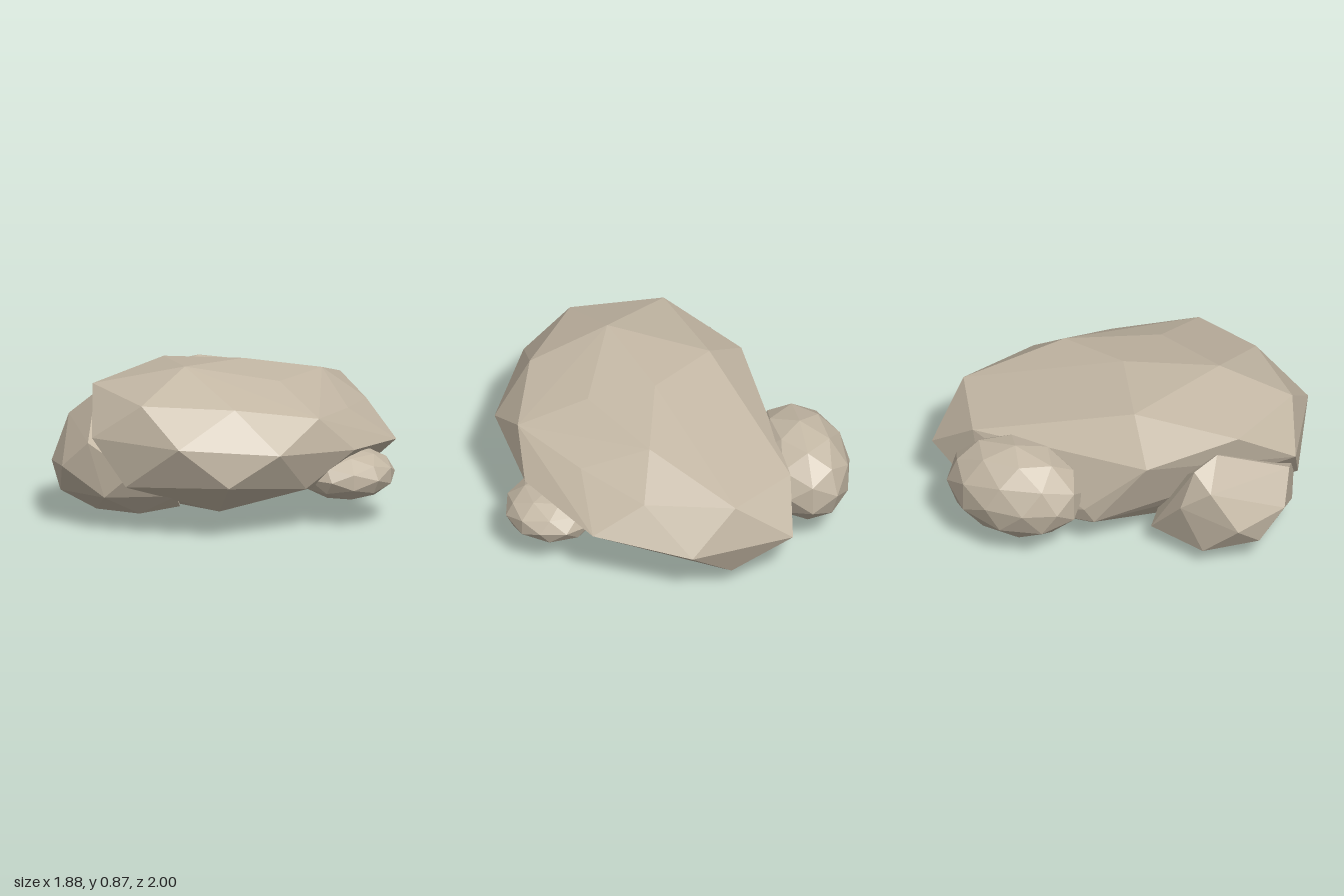
import * as THREE from 'three';
import { ConvexGeometry } from 'three/addons/geometries/ConvexGeometry.js';

export function createModel() {
  const group = new THREE.Group();
  group.name = 'rockCluster';
  const stone = new THREE.MeshStandardMaterial({ color: 0xc4b8a5, flatShading: true });
  stone.name = 'warm grey stone';

  const add = (name, geometry) => {
    const mesh = new THREE.Mesh(geometry, stone);
    mesh.name = name;
    group.add(mesh);
  };

  // Faceted boulder spanned over its corner points
  const hull = (name, points) =>
    add(name, new ConvexGeometry(points.map((p) => new THREE.Vector3(...p))));

  // Small rounded stone: a stretched low-poly ball
  const pebble = (name, centre, radii, turn) => {
    const geometry = new THREE.IcosahedronGeometry(1, 1);
    geometry.rotateY(turn).scale(...radii).translate(...centre);
    add(name, geometry);
  };

  hull('mainBoulder', [
    // crown
    [0.15, 0.87, 0.44], [-0.34, 0.79, 0.16], [0.04, 0.81, -0.08], [0.4, 0.76, -0.02],
    [0.58, 0.71, 0.46], [0.24, 0.73, 0.83], [-0.26, 0.75, 0.74], [0.2, 0.72, -0.5],
    // flanks
    [0.78, 0.63, 0.03], [0.815, 0.48, 0.34], [0.51, 0.53, 0.8], [-0.01, 0.53, 0.965],
    [0.81, 0.425, -0.2], [0.55, 0.58, -0.38], [0.3, 0.53, -0.73], [0.58, 0.36, -0.7],
    [-0.15, 0.56, -0.94], [0.11, 0.315, -1.0], [-0.46, 0.33, -0.985], [-0.53, 0.54, -0.71],
    [-0.58, 0.48, -0.19], [-0.575, 0.63, 0.34], [-0.64, 0.3, 0], [-0.62, 0.22, 0.05],
    // underside
    [0.67, 0.31, 0.58], [0.73, 0.24, 0.08], [0.18, 0.28, 0.89], [0.41, 0.11, 0.42],
    [0.06, 0, 0], [-0.15, 0.035, -0.45], [-0.14, 0.115, -0.9], [0.5, 0.17, -0.45],
    [-0.565, 0.105, -0.62], [-0.4, 0.03, -0.065], [-0.13, 0.045, 0.31],
  ]);

  hull('frontBoulder', [
    // upper side
    [-0.34, 0.67, 0.65], [-0.51, 0.53, 0.69], [-0.46, 0.61, 0.57], [-0.53, 0.4, 0.52],
    [-0.22, 0.34, 0.995], [-0.06, 0.49, 0.95], [0.2, 0.35, 0.86], [0.1, 0.4, 0.5],
    // lower side
    [-0.48, 0.3, 0.84], [-0.34, 0.17, 0.9], [0.04, 0.2, 0.92], [0.33, 0.22, 0.66],
    [0.27, 0.14, 0.58], [-0.21, 0.065, 0.755], [0.1, 0.09, 0.72], [-0.48, 0.11, 0.63],
    [-0.2, 0.027, 0.45], [-0.43, 0.14, 0.3], [-0.2, 0.3, 0.3],
  ]);

  pebble('rightStone', [-0.68, 0.365, -0.39], [0.265, 0.275, 0.39], 0.4);
  pebble('leftStone', [0.675, 0.265, -0.26], [0.26, 0.14, 0.265], Math.PI / 2);

  return group;
}
